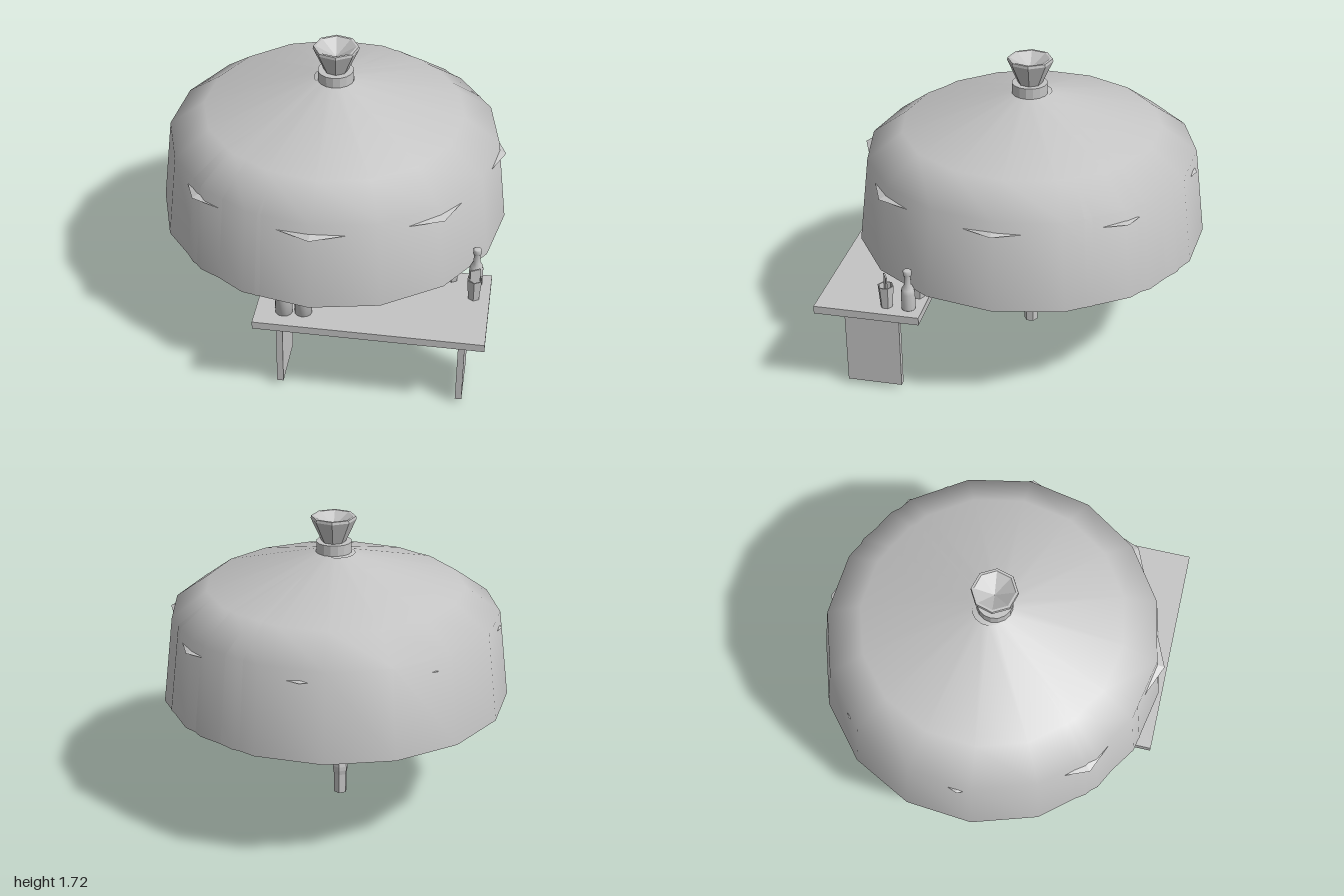
import * as THREE from 'three';

const grey = new THREE.MeshStandardMaterial({ color: 0xc4c4c4, side: THREE.DoubleSide });
grey.name = 'plainGrey';
const facetGrey = grey.clone();
facetGrey.name = 'plainGreyFaceted';
facetGrey.flatShading = true;

export function createModel() {
  const model = new THREE.Group();

  const add = (name, geometry, x, y, z, material = facetGrey) => {
    const mesh = new THREE.Mesh(geometry, material);
    mesh.name = name;
    mesh.position.set(x, y, z);
    model.add(mesh);
    return mesh;
  };
  // Profiles are [radius, height] pairs from bottom to top
  const lathe = (profile, sides, phase = 0) =>
    new THREE.LatheGeometry(profile.map(([r, y]) => new THREE.Vector2(r, y)), sides, phase);

  // Canopy: two overlapping smooth shells, the second slightly twisted and off centre
  const canopy = [[0.98, 0.68], [0.92, 1.18], [0.72, 1.325], [0.1, 1.51]];
  add('canopy', lathe(canopy, 16), 0.006, 0, -0.004, grey);
  add('canopyLining', lathe(canopy, 16, THREE.MathUtils.degToRad(6.4)), -0.019, 0, -0.022, grey);

  // Eight-sided inner frame whose corners poke through the canopy
  add('innerFrame', lathe([[0.96, 1.113], [0.02, 1.45]], 8), 0.008, 0, 0.004);

  // Collar and dished finial
  add('collar', new THREE.CylinderGeometry(0.1, 0.1, 0.065, 16), 0.003, 1.5375, -0.003);
  add('finial', lathe([[0.068, 1.57], [0.128, 1.7], [0.125, 1.715], [0.111, 1.715], [0, 1.65]], 8, 0.12),
    0.005, 0, -0.005);

  // Bamboo pole with two knots
  const pole = [[0, 0], [0.04, 0]];
  for (const y of [0.16, 0.455]) {
    pole.push([0.04, y - 0.04], [0.046, y - 0.012], [0.046, y + 0.012], [0.04, y + 0.04]);
  }
  pole.push([0.04, 1.21], [0, 1.21]);
  add('pole', lathe(pole, 6), -0.035, 0, -0.003);

  // Table top is a shallow tray open underneath (the bottom face is dropped)
  const top = new THREE.BoxGeometry(1.25, 0.045, 0.59);
  top.setIndex(Array.from(top.index.array).filter((_, i) => i < 18 || i >= 24));
  top.clearGroups();
  add('tableTop', top, 0.325, 0.5375, 0.705);
  for (const x of [-0.179, 0.823]) {
    add('tableLeg', new THREE.BoxGeometry(0.036, 0.485, 0.31), x, 0.2725, 0.71);
  }

  // Bottles
  const bottle = lathe([[0, 0], [0.038, 0], [0.04, 0.01], [0.04, 0.1], [0.034, 0.125], [0.02, 0.15],
    [0.018, 0.205], [0.024, 0.21], [0.024, 0.235], [0.018, 0.24], [0, 0.24]], 10);
  add('bottle', bottle, 0.862, 0.56, 0.488, grey);
  add('largeBottle', bottle, -0.045, 0.56, 0.56, grey).scale.setScalar(1.15);

  // Tapered tumblers
  const tumbler = lathe([[0, 0], [0.034, 0], [0.045, 0.13], [0.038, 0.13], [0.03, 0.015], [0, 0.015]], 6);
  for (const [x, z] of [[0.862, 0.612], [0.73, 0.47]]) add('tumbler', tumbler, x, 0.56, z);
  const slice = new THREE.BoxGeometry(0.06, 0.1, 0.008);
  add('drinkGarnish', slice, 0.862, 0.7, 0.612).rotation.y = 0.5;

  // Straight cups
  const cup = lathe([[0, 0], [0.048, 0], [0.048, 0.13], [0.042, 0.13], [0.042, 0.02], [0, 0.02]], 12);
  for (const [x, z] of [[-0.145, 0.88], [-0.19, 0.7], [-0.04, 0.87]]) add('cup', cup, x, 0.56, z, grey);

  // Stemmed glasses
  const stemGlass = lathe([[0, 0], [0.024, 0], [0.024, 0.005], [0.006, 0.012], [0.006, 0.08],
    [0.028, 0.09], [0.042, 0.11], [0.045, 0.14], [0.036, 0.2]], 10);
  for (const x of [0.14, 0.187]) add('stemGlass', stemGlass, x, 0.56, 0.74, grey);

  return model;
}
